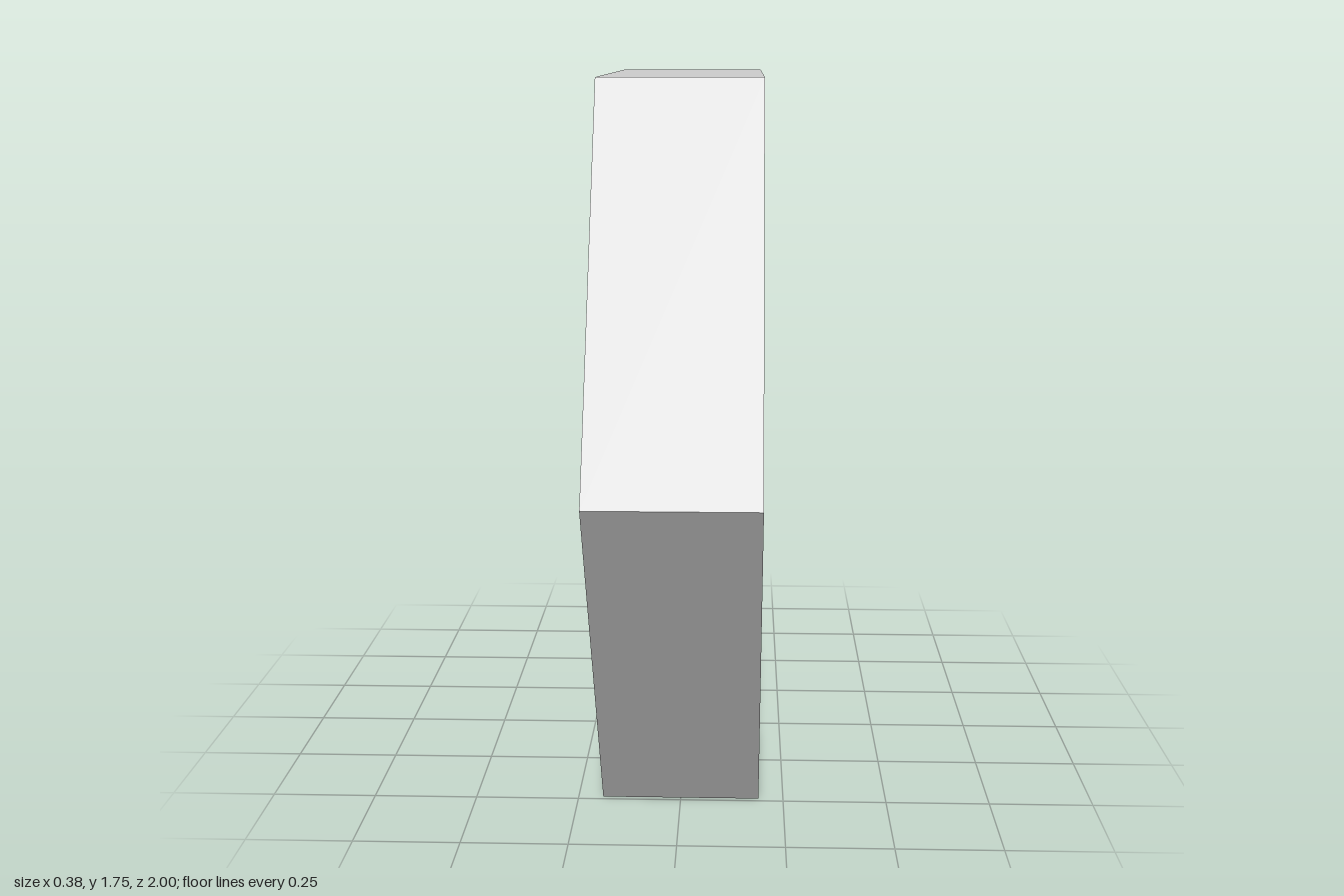
import * as THREE from 'three';

const R = 1, INNER = 0.91, HALF = 0.19;      // outer radius, inner ratio, half thickness
const APOTHEM = R * Math.sin(Math.PI / 3);
const WALL = APOTHEM * (1 - INNER);

// Corner of a hexagon standing on a flat edge
const corner = (i, r) => new THREE.Vector2(Math.cos(i * Math.PI / 3) * r, Math.sin(i * Math.PI / 3) * r);

// Extrude an upright outline along x, from x0 to x1
function slab(points, x0, x1) {
  const geo = new THREE.ExtrudeGeometry(new THREE.Shape(points), { depth: x1 - x0, bevelEnabled: false });
  return geo.translate(0, 0, x0).rotateY(Math.PI / 2);
}

export function createModel() {
  const model = new THREE.Group();
  model.name = 'hexagonalCase';
  const mat = new THREE.MeshStandardMaterial({ color: 0xcccccc, flatShading: true, side: THREE.DoubleSide });
  const add = (name, geo) => {
    const mesh = new THREE.Mesh(geo, mat);
    mesh.name = name;
    model.add(mesh);
  };

  // Five mitred side walls; index 4 is the bottom, built separately
  for (let i = 0; i < 6; i++) {
    if (i === 4) continue;
    add('sideWall', slab([corner(i, R), corner(i + 1, R), corner(i + 1, R * INNER), corner(i, R * INNER)], -HALF, HALF));
  }

  // Bottom wall with a slanted rectangular opening
  const rect = (x0, x1, z0, z1, Type) => new Type([
    new THREE.Vector2(x0, -z1), new THREE.Vector2(x1, -z1),
    new THREE.Vector2(x1, -z0), new THREE.Vector2(x0, -z0)]);
  const floor = rect(-HALF, HALF, -0.5, 0.5, THREE.Shape);
  floor.holes.push(rect(-0.078, 0.078, -0.015, 0.165, THREE.Path));
  const floorGeo = new THREE.ExtrudeGeometry(floor, { depth: WALL, bevelEnabled: false }).rotateX(-Math.PI / 2);
  const p = floorGeo.attributes.position;
  for (let i = 0; i < p.count; i++) p.setZ(i, p.getZ(i) - p.getY(i) / Math.sqrt(3));
  floorGeo.translate(0, -APOTHEM, 0).computeVertexNormals();
  add('bottomWall', floorGeo);

  // Inset cover panels on both faces, set just below the rim
  const inner = [0, 1, 2, 3, 4, 5].map(i => corner(i, R * INNER));
  add('leftPanel', slab(inner, HALF - 0.04, HALF - 0.002));
  add('rightPanel', slab(inner, -HALF + 0.004, -HALF + 0.04));

  // The case rests with a very slight tilt
  model.rotation.x = 0.015;
  model.position.y = Math.sin(Math.PI / 3 + 0.015);
  const root = new THREE.Group();
  root.name = 'model';
  root.add(model);
  return root;
}
